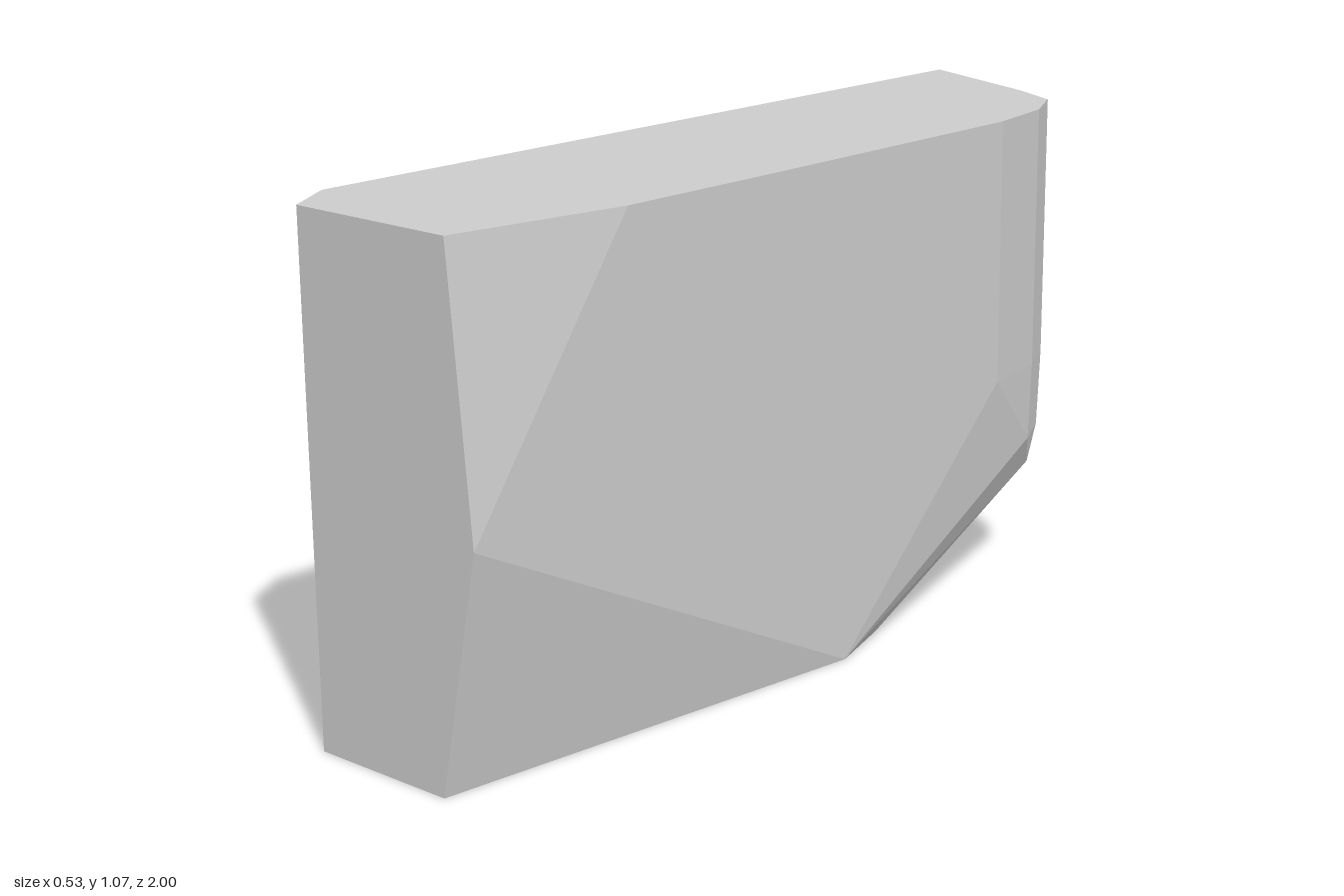
import * as THREE from 'three';
import { ConvexGeometry } from 'three/addons/geometries/ConvexGeometry.js';

export function createModel() {
  const model = new THREE.Group();
  const stone = new THREE.MeshStandardMaterial({ color: 0xcccccc });

  // Horizontal outlines of the faceted block, as [x, z] corners at each height
  const levels = [
    { y: 1.07, ring: [[-0.265, -1], [0.05, -0.89], [0.165, -0.835], [0.225, -0.72], [0.255, -0.55],
      [0.262, 0.2], [0.262, 0.6], [0.2, 1], [-0.195, 1], [-0.265, 0.88]] },
    // Upright back corner ends here and the front bulges sideways
    { y: 0.5, ring: [[-0.265, -1], [0.05, -0.89], [0.165, -0.835], [0.225, -0.72], [0.257, -0.55], [0.257, 1]] },
    // Back edge curving under
    { y: 0.33, ring: [[-0.265, -0.97], [0.05, -0.873], [0.165, -0.825], [0.222, -0.715]] },
    { y: 0.245, ring: [[0.16, -0.8]] },
    { y: 0.18, ring: [[-0.265, -0.87]] },
    // Base
    { y: 0, ring: [[-0.265, -0.43], [0.13, -0.3], [0.19, -0.225], [0.25, -0.05],
      [0.16, 1], [-0.18, 1], [-0.265, 0.11]] },
  ];
  const corners = levels.flatMap(({ y, ring }) => ring.map(([x, z]) => new THREE.Vector3(x, y, z)));

  const block = new THREE.Mesh(new ConvexGeometry(corners), stone);
  block.name = 'facetedBlock';
  stone.name = 'paleGrey';
  model.add(block);
  return model;
}
